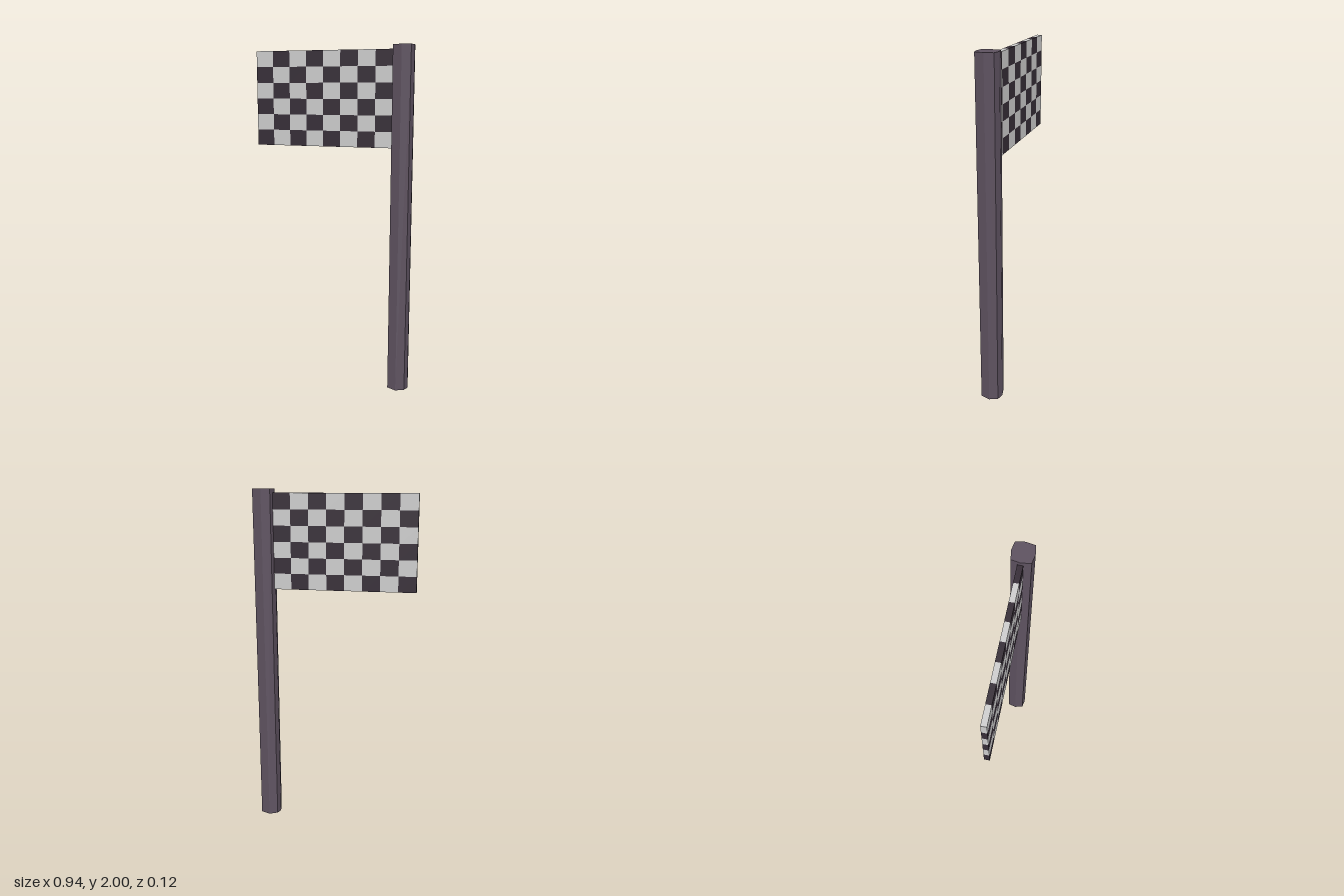
import * as THREE from 'three';

const poleMaterial = new THREE.MeshStandardMaterial({ color: 0x5f5361 });
poleMaterial.name = 'pole purple grey';
const lightMaterial = new THREE.MeshStandardMaterial({ color: 0xd0d0d0 });
lightMaterial.name = 'flag light grey';
const darkMaterial = new THREE.MeshStandardMaterial({ color: 0x372e38 });
darkMaterial.name = 'flag dark';

// Eight-sided pole: a square with gently bowed sides
function makePole() {
  const radius = 0.06, height = 2;
  const geometry = new THREE.CylinderGeometry(radius, radius, height, 8).toNonIndexed();
  const p = geometry.attributes.position;
  for (let i = 0; i < p.count; i++) {
    const x = p.getX(i), z = p.getZ(i);
    if (Math.abs(x) > 0.02 && Math.abs(z) > 0.02) {
      // push the diagonal corners out, and lift them slightly at the foot
      const lift = p.getY(i) < 0 ? 0.008 : 0;
      p.setXYZ(i, x * 1.2, p.getY(i) + lift, z * 1.2);
    }
  }
  geometry.computeVertexNormals();
  const pole = new THREE.Mesh(geometry, poleMaterial);
  pole.name = 'pole';
  pole.position.set(0.41, height / 2, 0);
  return pole;
}

// Thin chequered board, 8 columns by 6 rows, with the pattern wrapping its edges
function makeFlag() {
  const columns = 8, rows = 6, width = 0.826, height = 0.545;
  const geometry = new THREE.BoxGeometry(width, height, 0.03, columns, rows, 1);
  const p = geometry.attributes.position, index = geometry.index;
  const cell = (value, size, count) =>
    Math.min(count - 1, Math.max(0, Math.floor((value / size + 0.5) * count)));
  geometry.clearGroups();
  for (let q = 0; q < index.count; q += 6) {
    let x = 0, y = 0;
    for (let k = 0; k < 6; k++) {
      x += p.getX(index.getX(q + k)) / 6;
      y += p.getY(index.getX(q + k)) / 6;
    }
    const column = cell(x, width, columns), row = cell(-y, height, rows);
    geometry.addGroup(q, 6, (column + row) % 2);
  }
  const flag = new THREE.Mesh(geometry, [lightMaterial, darkMaterial]);
  flag.name = 'chequeredFlag';
  flag.position.set(-0.47 + width / 2, 1.705, -0.003);
  return flag;
}

export function createModel() {
  const model = new THREE.Group();
  model.name = 'flagOnPole';
  model.add(makePole(), makeFlag());
  return model;
}
